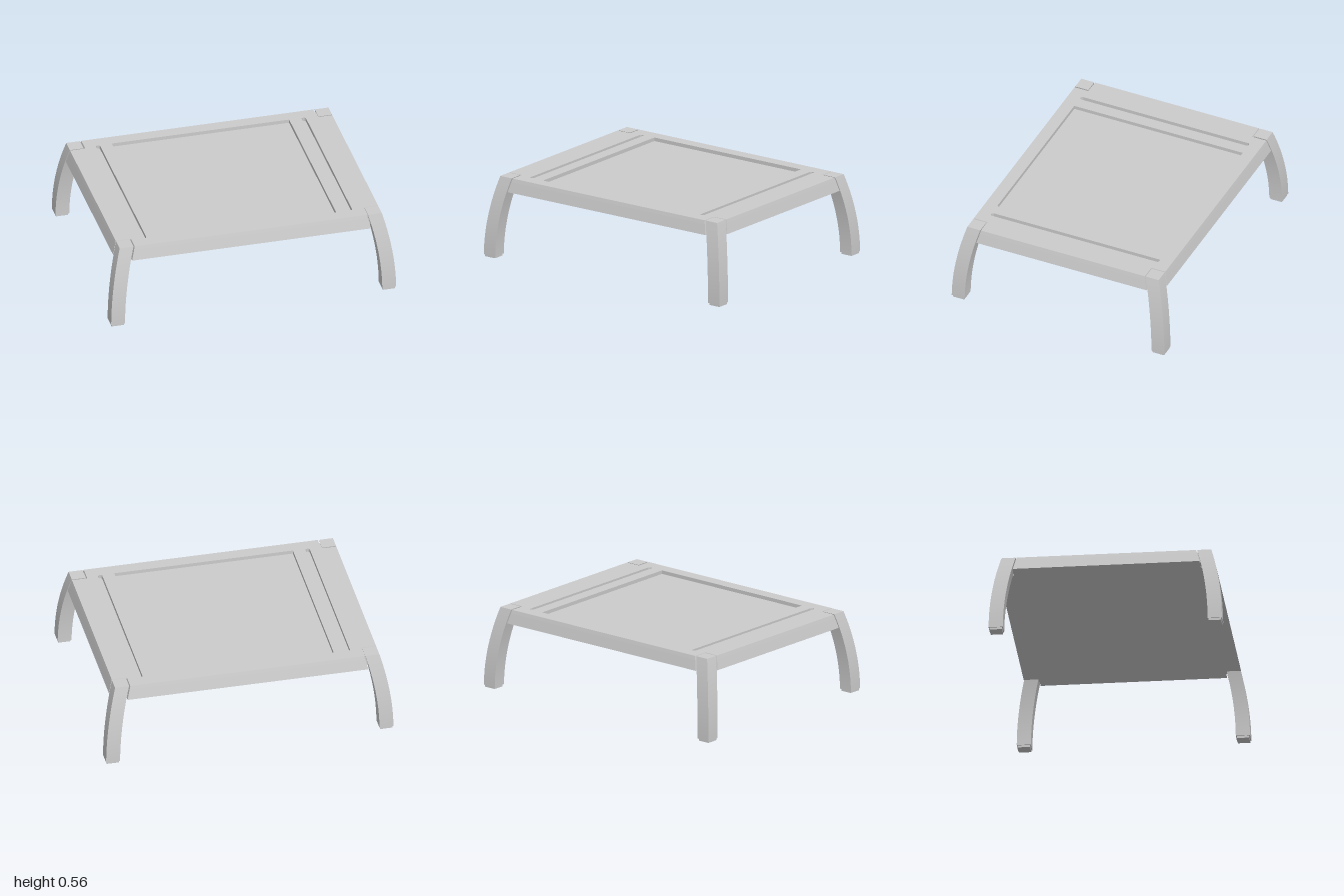
import * as THREE from 'three';

const TOP = 0.565, UNDER = 0.47, FOOT = 0.015;
const material = new THREE.MeshStandardMaterial({ color: 0xcccccc });

// How far legs and apron flare outward below the top surface
const flare = (y) => 0.08 * (1 - (y / TOP) ** 2);

function add(parent, name, geometry) {
  const mesh = new THREE.Mesh(geometry, material);
  mesh.name = name;
  parent.add(mesh);
  return mesh;
}

// Cross-shaped plan with the four corners notched for the legs
function slabPlan() {
  const X = 0.92, Z = 0.717, nx = 0.814, nz = 0.612;
  return new THREE.Shape([
    [nx, -Z], [nx, -nz], [X, -nz], [X, nz], [nx, nz], [nx, Z],
    [-nx, Z], [-nx, nz], [-X, nz], [-X, -nz], [-nx, -nz], [-nx, -Z],
  ].map(([x, z]) => new THREE.Vector2(x, z)));
}

// Rectangular hole for the sunken panel
function panelHole() {
  const x = 0.622, z = 0.63;
  return new THREE.Path([[-x, -z], [-x, z], [x, z], [x, -z]].map((p) => new THREE.Vector2(...p)));
}

// Narrow slot with rounded ends
function slotHole(cx) {
  const r = 0.015, z = 0.615;
  const path = new THREE.Path();
  path.absarc(cx, z, r, 0, Math.PI, false);
  path.absarc(cx, -z, r, Math.PI, Math.PI * 2, false);
  path.closePath();
  return path;
}

// Extruded layer whose outer rim follows the flare of the legs
function slabLayer(shape, y0, y1) {
  const geo = new THREE.ExtrudeGeometry(shape, { depth: y1 - y0, bevelEnabled: false, curveSegments: 6 });
  geo.rotateX(-Math.PI / 2).translate(0, y0, 0);
  const p = geo.attributes.position;
  for (let i = 0; i < p.count; i++) {
    const x = p.getX(i), z = p.getZ(i), f = flare(p.getY(i));
    if (Math.abs(x) > 0.8) {
      p.setX(i, x + Math.sign(x) * f);
      p.setZ(i, z + Math.sign(z) * f);
    }
  }
  geo.computeVertexNormals();
  return geo;
}

// Square leg sweeping outward on the diagonal as it descends
function legGeometry(sx, sz) {
  const h = TOP - FOOT;
  const geo = new THREE.BoxGeometry(1, h, 1, 1, 14, 1).translate(0, FOOT + h / 2, 0);
  const p = geo.attributes.position;
  for (let i = 0; i < p.count; i++) {
    const y = p.getY(i), f = flare(y), w = 0.097;
    p.setX(i, sx * (0.92 - w / 2 + f) + p.getX(i) * w);
    p.setZ(i, sz * (0.716 - w / 2 + f) + p.getZ(i) * w);
  }
  geo.computeVertexNormals();
  return geo;
}

export function createModel() {
  const model = new THREE.Group();
  model.name = 'lowTable';

  // Table top: open upper layer over a solid lower layer
  const tableTop = new THREE.Group();
  tableTop.name = 'tableTop';
  model.add(tableTop);
  const upper = slabPlan();
  upper.holes.push(panelHole(), slotHole(-0.722), slotHole(0.722));
  add(tableTop, 'topFrame', slabLayer(upper, TOP - 0.025, TOP));
  add(tableTop, 'topBase', slabLayer(slabPlan(), UNDER, TOP - 0.025));

  // Legs with foot pads, joined to the top behind a thin seam
  for (const sx of [-1, 1]) {
    for (const sz of [-1, 1]) {
      const leg = new THREE.Group();
      leg.name = `${sz > 0 ? 'front' : 'back'}${sx > 0 ? 'Left' : 'Right'}Leg`;
      model.add(leg);
      add(leg, 'legPost', legGeometry(sx, sz));
      add(leg, 'footPad', new THREE.BoxGeometry(0.085, FOOT, 0.085))
        .position.set(sx * 0.9515, FOOT / 2, sz * 0.7475);
      add(leg, 'cornerJoint', new THREE.BoxGeometry(0.1, 0.075, 0.1))
        .position.set(sx * 0.85, 0.515, sz * 0.647);
    }
  }
  return model;
}
